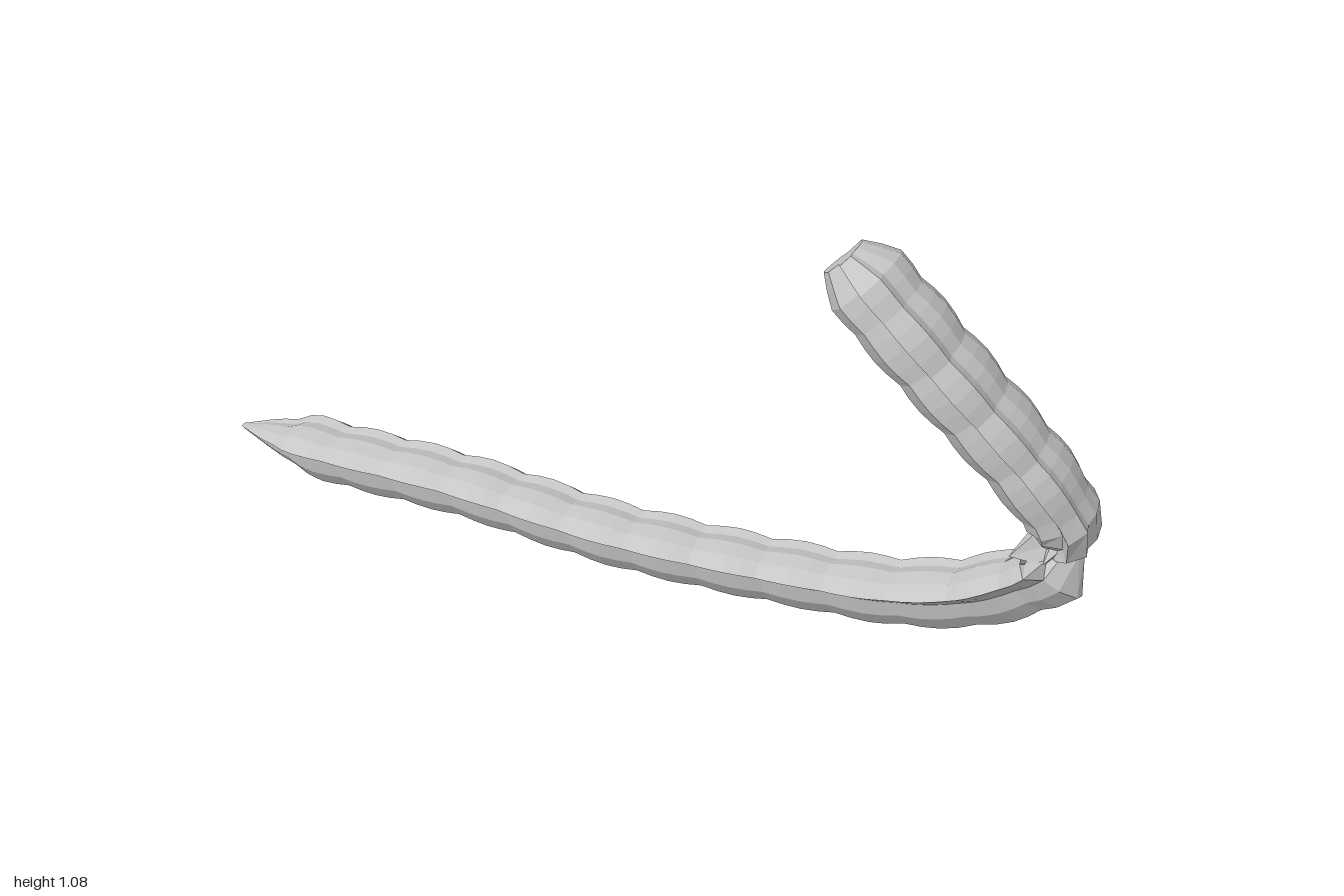
import * as THREE from 'three';

const grey = new THREE.MeshStandardMaterial({ color: 0xc6c6c6, side: THREE.DoubleSide });
grey.name = 'pale grey';

// Broad-backed, keeled cross-section with grooved flanks, anticlockwise: [across, up]
const SECTION = [
  [0.05, 0.016], [0.08, 0.036], [0.045, 0.072], [0.022, 0.067], [-0.01, 0.078], [-0.05, 0.075],
  [-0.085, 0.055], [-0.037, 0.012], [-0.032, -0.03], [-0.006, -0.074], [0.012, -0.082],
  [0.03, -0.072], [0.062, -0.03],
];
const SIDE = new THREE.Vector3(0.945, 0, -0.327); // both arms bend in one upright plane

// Faceted mesh from rings of points, closed at both ends
function loft(name, rings) {
  const pos = [];
  const tri = (...pts) => pts.forEach((p) => pos.push(p.x, p.y, p.z));
  const n = rings[0].length;
  const middle = (r) => r.reduce((s, p) => s.add(p), new THREE.Vector3()).divideScalar(n);
  const last = rings[rings.length - 1];
  const c0 = middle(rings[0]), c1 = middle(last);
  for (let j = 0; j < n; j++) {
    const k = (j + 1) % n;
    for (let i = 0; i < rings.length - 1; i++) {
      const a = rings[i], b = rings[i + 1];
      tri(a[j], a[k], b[k]);
      tri(a[j], b[k], b[j]);
    }
    tri(c0, rings[0][k], rings[0][j]);
    tri(c1, last[j], last[k]);
  }
  const geo = new THREE.BufferGeometry();
  geo.setAttribute('position', new THREE.Float32BufferAttribute(pos, 3));
  geo.computeVertexNormals();
  const mesh = new THREE.Mesh(geo, grey);
  mesh.name = name;
  return mesh;
}

// Sweep the section along stations [x, y, z, scale] with scalloped swellings.
// turn = -1 twists the section half round.
function sweepArm(name, stations, bumps, swell, turn) {
  const curve = new THREE.CatmullRomCurve3(
    stations.map(([x, y, z]) => new THREE.Vector3(x, y, z)), false, 'centripetal');
  const spans = stations.length - 1;
  // arc length at each station, used to blend the scales
  const at = curve.getLengths(spans * 40).filter((_, i) => i % 40 === 0);
  const total = at[spans];
  const scaleAt = (u) => {
    let i = 0;
    while (i < spans - 1 && at[i + 1] < u * total) i++;
    return THREE.MathUtils.lerp(stations[i][3], stations[i + 1][3],
      (u * total - at[i]) / (at[i + 1] - at[i]));
  };
  const steps = bumps * 4;
  const rings = [];
  curve.arcLengthDivisions = 800;
  curve.updateArcLengths();
  for (let i = 0; i <= steps; i++) {
    const u = i / steps;
    const c = curve.getPointAt(u), t = curve.getTangentAt(u);
    const up = new THREE.Vector3().crossVectors(t, SIDE).normalize();
    const across = new THREE.Vector3().crossVectors(up, t).normalize();
    const s = turn * scaleAt(u) * (1 + swell * (Math.abs(Math.sin(u * bumps * Math.PI)) - 0.6));
    rings.push(SECTION.map(([a, b]) =>
      c.clone().addScaledVector(across, a * s).addScaledVector(up, b * s)));
  }
  return loft(name, rings);
}

export function createModel() {
  const model = new THREE.Group();
  model.name = 'bentSegmentedLimb';

  // Long lower arm: pointed tip at the back, curling up at the front
  model.add(sweepArm('lowerArm', [
    [-0.305, 0.06, -1.0, 0.1], [-0.28, 0.08, -0.8, 1], [-0.185, 0.125, -0.4, 1.0],
    [-0.08, 0.135, 0, 1.0], [0.07, 0.155, 0.4, 0.98], [0.14, 0.184, 0.6, 1.0],
    [0.195, 0.236, 0.75, 1.0], [0.22, 0.31, 0.85, 0.97], [0.243, 0.383, 0.92, 0.95],
    [0.265, 0.43, 0.89, 0.4],
  ], 14, 0.11, 1));

  // Shorter upper arm leaning back to a blunt end, its broad back turned outward
  model.add(sweepArm('upperArm', [
    [0.268, 0.42, 0.885, 0.4], [0.255, 0.49, 0.92, 0.95], [0.218, 0.6, 0.865, 1.0],
    [0.172, 0.72, 0.77, 1.03], [0.126, 0.84, 0.665, 1.06], [0.09, 0.95, 0.56, 1.08],
    [0.078, 1.0, 0.505, 1.03], [0.066, 1.043, 0.46, 0.62],
  ], 6, 0.09, -1));

  // Crumpled folds around the pinched joint: [angle, radius, height]
  const folds = [
    [0, 0.09, 0.415], [0.6, 0.05, 0.45], [1.2, 0.075, 0.445], [1.9, 0.045, 0.44],
    [2.8, 0.105, 0.425], [3.5, 0.06, 0.405], [4.1, 0.06, 0.45], [4.8, 0.05, 0.43], [5.5, 0.075, 0.46],
  ];
  const foldRing = (grow, lift) => folds.map(([a, r, y]) => new THREE.Vector3(
    0.268 + Math.cos(a) * r * grow, y + lift, 0.885 - Math.sin(a) * r * grow));
  model.add(loft('jointFolds', [foldRing(0.5, -0.035), foldRing(1, 0), foldRing(0.5, 0.03)]));
  return model;
}
